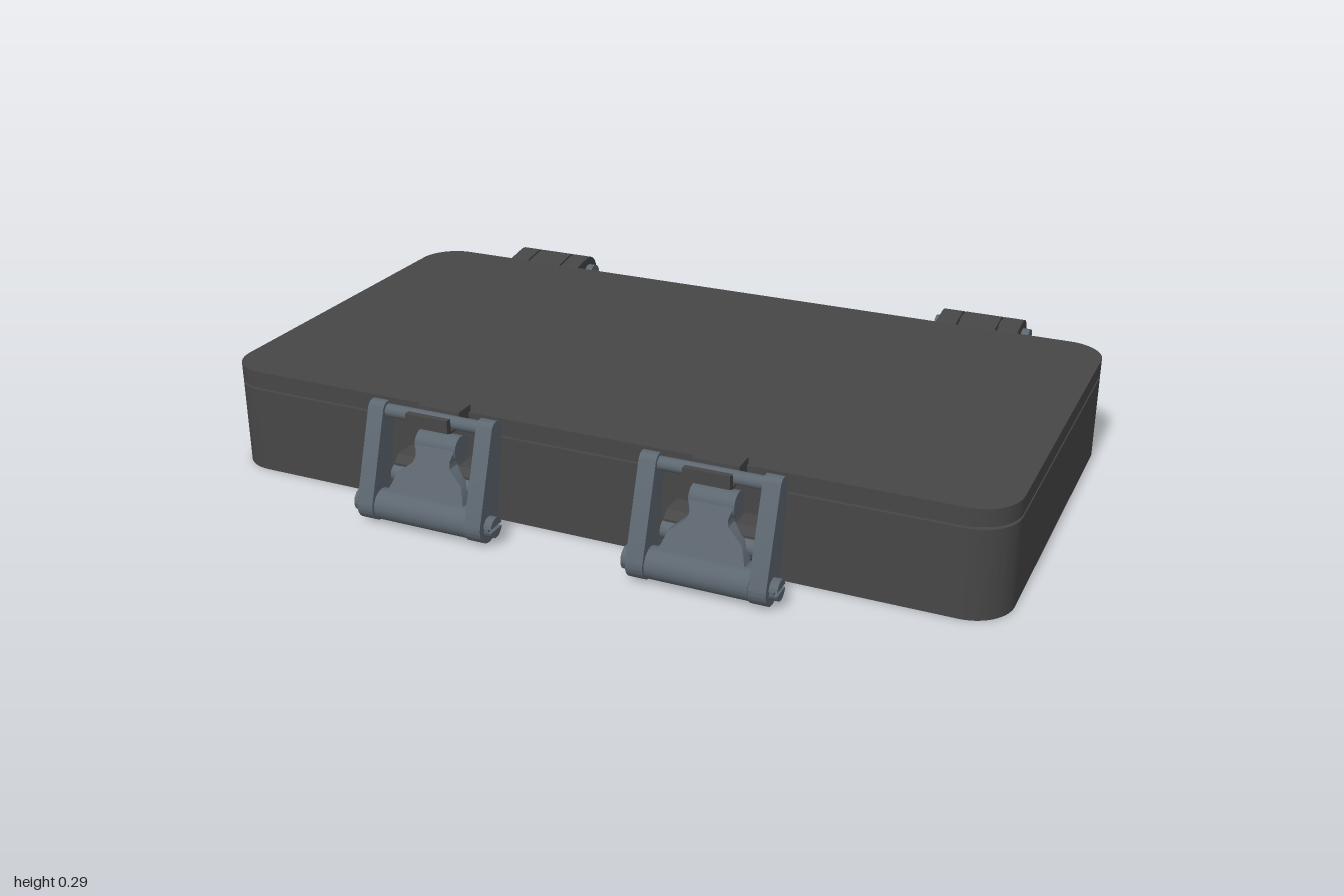
import * as THREE from 'three';
import { toCreasedNormals } from 'three/addons/utils/BufferGeometryUtils.js';

const casing = new THREE.MeshStandardMaterial({ color: 0x464646 });
casing.name = 'darkCasing';
const metal = new THREE.MeshStandardMaterial({ color: 0x5d6770 });
metal.name = 'blueGreyMetal';

function part(name, geometry, material, parent) {
  const mesh = new THREE.Mesh(geometry, material);
  mesh.name = name;
  parent.add(mesh);
  return mesh;
}

function extrude(shape, depth) {
  const g = new THREE.ExtrudeGeometry(shape, { depth, bevelEnabled: false, curveSegments: 12 });
  return toCreasedNormals(g, 0.6);
}

// Side profile drawn in (z, y), swept from x0 to x1
const sweepX = (shape, x0, x1) => extrude(shape, x1 - x0).rotateY(-Math.PI / 2).translate(x1, 0, 0);

// Rod along x
const rod = (x0, x1, y, z, r, rEnd = r) =>
  new THREE.CylinderGeometry(r, rEnd, x1 - x0, 24).rotateZ(Math.PI / 2).translate((x0 + x1) / 2, y, z);

const polygon = (points) => new THREE.Shape(points.map(([a, b]) => new THREE.Vector2(a, b)));

// Outline around two circles of different radius
function taperedCapsule(z1, y1, r1, z2, y2, r2) {
  const d = Math.atan2(y2 - y1, z2 - z1);
  const a = Math.acos((r1 - r2) / Math.hypot(z2 - z1, y2 - y1));
  const s = new THREE.Shape();
  s.absarc(z1, y1, r1, d + a, d - a + Math.PI * 2, false);
  s.absarc(z2, y2, r2, d - a, d + a, false);
  s.closePath();
  return s;
}

// Rounded rectangular slab of the case
function slab(inset, y0, y1) {
  const w = 1 - inset, z0 = -0.535 + inset, z1 = 0.5 - inset, r = 0.1;
  const s = new THREE.Shape();
  s.absarc(w - r, -z0 - r, r, 0, Math.PI / 2, false);
  s.absarc(-w + r, -z0 - r, r, Math.PI / 2, Math.PI, false);
  s.absarc(-w + r, -z1 + r, r, Math.PI, Math.PI * 1.5, false);
  s.absarc(w - r, -z1 + r, r, Math.PI * 1.5, Math.PI * 2, false);
  s.closePath();
  return extrude(s, y1 - y0).rotateX(-Math.PI / 2).translate(0, y0, 0);
}

// Bolt with a socket head at x0 and a slotted end at x1
function bolt(parent, x0, x1, headLength, endLength, y, z, r, material) {
  part('boltShank', rod(x0 + headLength * 0.6, x1 - endLength * 0.4, y, z, r * 0.9), material, parent);
  const head = new THREE.Shape().absarc(z, y, r * 1.1, 0, Math.PI * 2, false);
  const socket = new THREE.Path();
  for (let i = 0; i < 6; i++) {
    const a = -i * Math.PI / 3;
    const p = [z + Math.cos(a) * r * 0.6, y + Math.sin(a) * r * 0.6];
    i ? socket.lineTo(...p) : socket.moveTo(...p);
  }
  socket.closePath();
  head.holes.push(socket);
  part('boltHead', sweepX(head, x0, x0 + headLength), material, parent);
  for (const turn of [0, Math.PI]) {
    const half = new THREE.Shape();
    half.absarc(z, y, r, turn + 0.18, turn + Math.PI - 0.18, false);
    half.closePath();
    part('slottedBoltEnd', sweepX(half, x1 - endLength, x1), material, parent);
  }
}

function makeHinge() {
  const g = new THREE.Group();
  g.name = 'hinge';
  const y = 0.225, z = -0.61;
  const lug = taperedCapsule(-0.53, 0.223, 0.042, z, y, 0.052);
  part('outerLug', sweepX(lug, -0.11, -0.056), casing, g);
  part('lidLug', sweepX(lug, -0.05, 0.05), casing, g);
  part('innerLug', sweepX(lug, 0.056, 0.11), casing, g);
  part('hingePin', rod(-0.1, 0.1, y, z, 0.045), casing, g);
  bolt(g, -0.127, 0.13, 0.018, 0.02, y, z, 0.03, metal);
  return g;
}

function makeLatch() {
  const g = new THREE.Group();
  g.name = 'latch';
  const topY = 0.267, topZ = 0.563, lowY = 0.047, lowZ = 0.618;

  // Side arms and the bar between them
  const arm = taperedCapsule(lowZ, lowY, 0.041, topZ, topY, 0.023);
  for (const side of [-1, 1]) {
    part('sideArm', sweepX(arm, side * 0.146 - 0.021, side * 0.146 + 0.021), metal, g);
  }
  part('crossBar', rod(-0.13, 0.13, topY, topZ, 0.016), metal, g);

  // Lever plate leaning back towards the case
  const rightEdge = [[0.122, 0.045], [0.122, 0.072], [0.103, 0.085], [0.088, 0.125],
    [0.05, 0.155], [0.046, 0.17], [0.055, 0.2]];
  const outline = [...rightEdge, ...rightEdge.slice().reverse().map(([x, y]) => [-x, y])];
  const plate = extrude(polygon(outline), 0.035);
  const p = plate.attributes.position;
  for (let i = 0; i < p.count; i++) p.setZ(i, p.getZ(i) + 0.608 - (p.getY(i) - 0.045) * 0.5);
  part('leverPlate', toCreasedNormals(plate, 0.6), metal, g);
  part('leverTip', rod(-0.055, 0.055, 0.19, 0.538, 0.031), metal, g);
  part('leverBarrel', rod(-0.123, 0.123, lowY, lowZ, 0.038), metal, g);
  bolt(g, -0.185, 0.187, 0.02, 0.022, lowY, lowZ, 0.025, metal);

  // Fixed ears on the case and the lever pivot
  const ear = polygon([[0.49, 0.068], [0.558, 0.068], [0.572, 0.08], [0.572, 0.135], [0.555, 0.152], [0.49, 0.152]]);
  part('leftEar', sweepX(ear, 0.055, 0.112), casing, g);
  part('rightEar', sweepX(ear, -0.112, -0.055), casing, g);
  part('pivotRod', rod(-0.115, 0.115, 0.108, 0.566, 0.022), metal, g);

  // Grooved catch on the lid
  const hook = polygon([[0.49, 0.246], [0.582, 0.246], [0.598, 0.252], [0.598, 0.284], [0.583, 0.284],
    [0.58, 0.252], [0.547, 0.252], [0.543, 0.284], [0.49, 0.284]]);
  part('lidCatch', sweepX(hook, -0.056, 0.056), casing, g);
  return g;
}

export function createModel() {
  const model = new THREE.Group();
  model.name = 'latchedCase';

  part('caseBase', slab(0, 0, 0.219), casing, model);
  part('seam', slab(0.01, 0.215, 0.23), casing, model);
  part('caseLid', slab(0, 0.226, 0.268), casing, model);

  for (const side of [-1, 1]) {
    const hinge = makeHinge();
    hinge.position.x = side * 0.65;
    const latch = makeLatch();
    latch.position.x = side * 0.352;
    model.add(hinge, latch);
  }
  return model;
}
